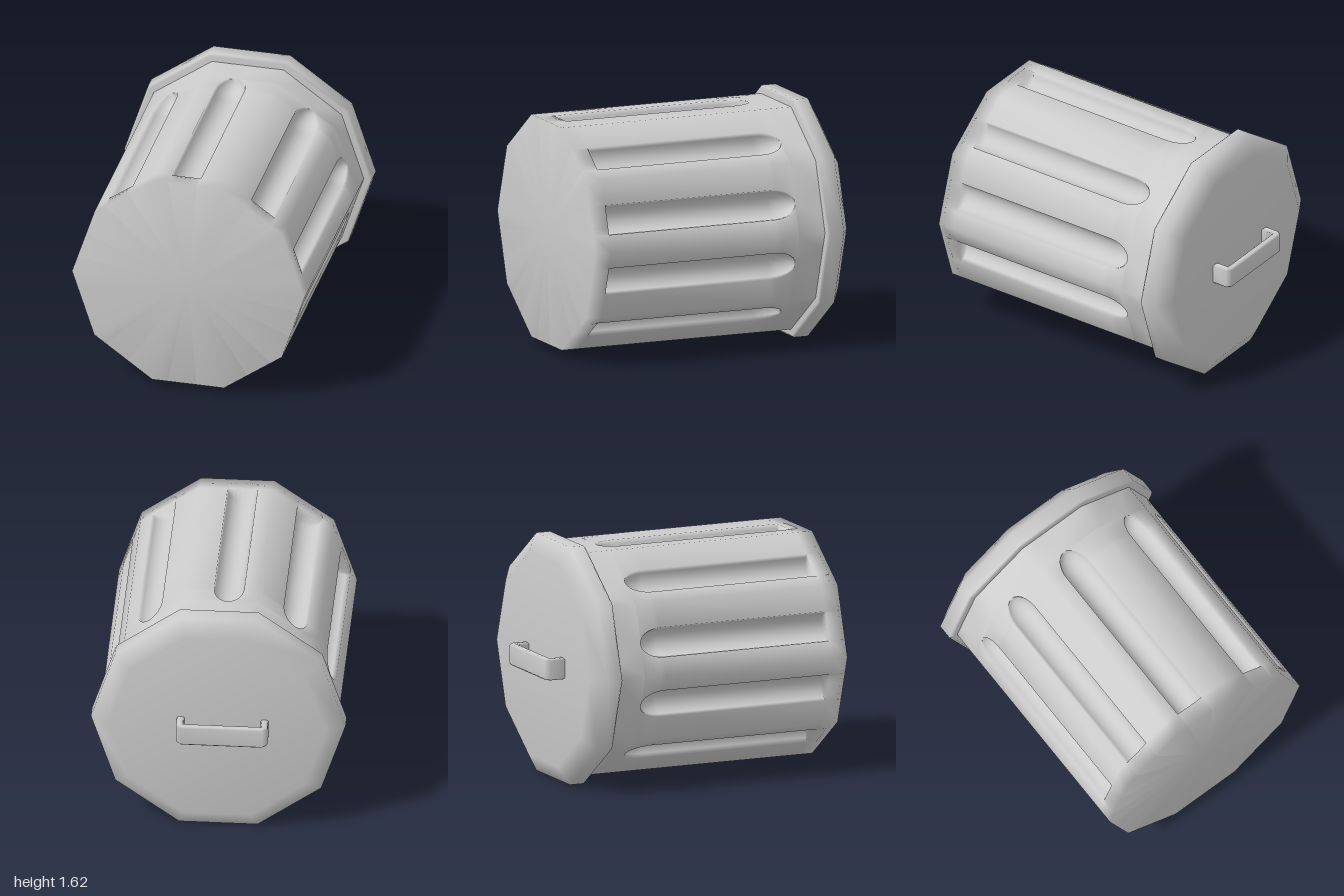
import * as THREE from 'three';
import { mergeVertices } from 'three/addons/utils/BufferGeometryUtils.js';

const SIDES = 10, STEP = (Math.PI * 2) / SIDES;
const AXIS_Y = 0.808;

function smooth(geo) {
  geo.deleteAttribute('normal');
  geo.deleteAttribute('uv');
  const merged = mergeVertices(geo, 1e-4);
  merged.computeVertexNormals();
  return merged;
}

// Skins a list of closed rings (counter-clockwise seen from +z) and optionally caps the ends
function loft(rings, frontCap, backCap) {
  const n = rings[0].length, pos = rings.flat().flat(), index = [];
  for (let i = 0; i < rings.length - 1; i++) {
    for (let j = 0; j < n; j++) {
      const k = (j + 1) % n, a = i * n + j, b = i * n + k, c = a + n, d = b + n;
      index.push(a, c, b, b, c, d);
    }
  }
  const cap = (row, flip) => {
    const centre = pos.length / 3;
    pos.push(0, 0, rings[row][0][2]);
    for (let j = 0; j < n; j++) {
      const a = row * n + j, b = row * n + ((j + 1) % n);
      index.push(centre, flip ? b : a, flip ? a : b);
    }
  };
  if (frontCap) cap(0, false);
  if (backCap) cap(rings.length - 1, true);
  const geo = new THREE.BufferGeometry();
  geo.setAttribute('position', new THREE.Float32BufferAttribute(pos, 3));
  geo.setIndex(index);
  return smooth(geo);
}

// Ten-sided ring with one half-pipe groove in every face
function flutedRing(z, width, depth) {
  const R = 0.795, apothem = R * Math.cos(STEP / 2), N = 10;
  const half = [-0.026, -0.053, 0.04, 0.053, 0.026];
  const offsets = [...half, ...half.map((o) => -o).reverse()];
  const ring = [];
  for (let f = 0; f < SIDES; f++) {
    const corner = f * STEP, mid = corner + STEP / 2;
    ring.push([R * Math.cos(corner), R * Math.sin(corner), z]);
    for (let i = 0; i <= N; i++) {
      const t = (i / N) * Math.PI;
      const s = offsets[f] - width * Math.cos(t), r = apothem - depth * Math.sin(t);
      ring.push([r * Math.cos(mid) - s * Math.sin(mid), r * Math.sin(mid) + s * Math.cos(mid), z]);
    }
  }
  return ring;
}

function plainRing(r, z) {
  return Array.from({ length: SIDES }, (_, i) => [r * Math.cos(i * STEP), r * Math.sin(i * STEP), z]);
}

export function createModel() {
  const group = new THREE.Group();
  group.name = 'trashCan';
  const material = new THREE.MeshStandardMaterial({ color: 0xcccccc, side: THREE.DoubleSide });
  const add = (name, geo, y) => {
    const mesh = new THREE.Mesh(geo, material);
    mesh.name = name;
    mesh.position.y = y;
    group.add(mesh);
  };

  // Fluted body: square groove ends near the base, rounded ends near the lid
  const W = 0.1, D = 0.1;
  const rings = [flutedRing(1, W, 0), flutedRing(0.885, W, 0), flutedRing(0.885, W, D)];
  for (let i = 0; i <= 6; i++) {
    const a = (i / 6) * Math.PI / 2, k = Math.cos(a);
    rings.push(flutedRing(-0.33 - 0.16 * Math.sin(a), W * k, D * k));
  }
  rings.push(flutedRing(-0.69, W, 0));
  add('body', loft(rings, true, false), AXIS_Y);

  // Lid with overhanging rim and bevelled edge
  const lidProfile = [[0.72, -0.675], [0.835, -0.675], [0.85, -0.69], [0.85, -0.79], [0.725, -0.865]];
  add('lid', loft(lidProfile.map(([r, z]) => plainRing(r, z)), false, true), AXIS_Y);

  // Bracket handle on the lid, extruded across its width
  const x0 = -0.34, x1 = 0.27, t = 0.05, base = 0.86, c = 0.03;
  const outline = [
    [x0, base], [x0, 1 - c], [x0 + c, 1], [x1 - c, 1], [x1, 1 - c], [x1, base],
    [x1 - t, base], [x1 - t, 1 - t], [x0 + t, 1 - t], [x0 + t, base],
  ];
  const shape = new THREE.Shape(outline.map(([x, z]) => new THREE.Vector2(x, z)));
  const bevel = 0.012;
  const handle = new THREE.ExtrudeGeometry(shape, {
    depth: 0.145 - 2 * bevel, bevelEnabled: true, bevelThickness: bevel,
    bevelSize: bevel, bevelOffset: -bevel, bevelSegments: 1,
  });
  handle.rotateX(-Math.PI / 2);
  add('handle', smooth(handle), 0.738 + bevel);

  return group;
}
